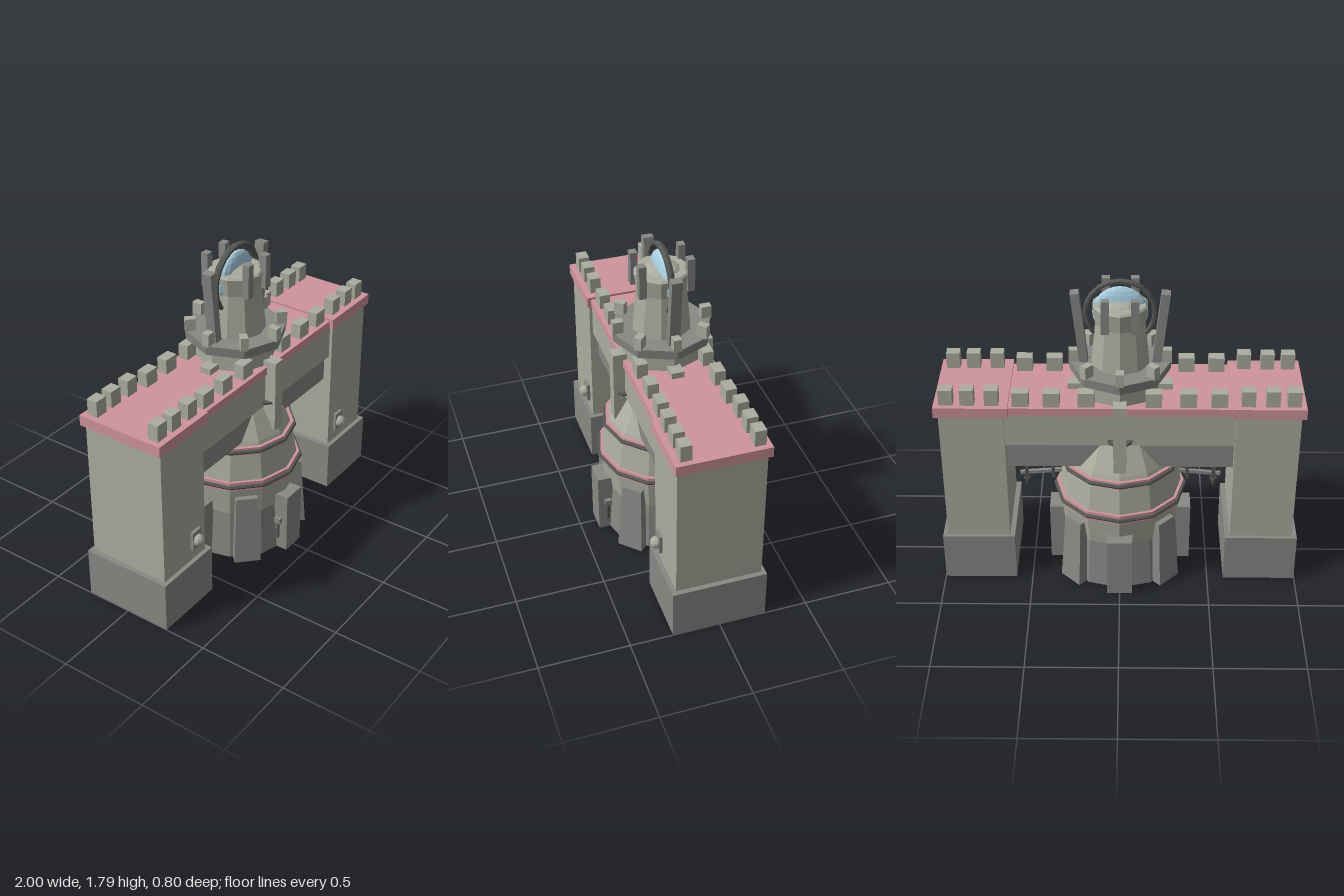
import * as THREE from 'three';

const mat = (name, color) => {
  const m = new THREE.MeshStandardMaterial({ color });
  m.name = name;
  m.flatShading = true;
  return m;
};

export function createModel() {
  const root = new THREE.Group();
  root.name = 'gatehouse';
  const stone = mat('lightStone', 0xabad9f);
  const dark = mat('darkStone', 0x888985);
  const pink = mat('pinkTrim', 0xd0949b);
  const glass = mat('paleBlueGlass', 0xa8cfe2);
  const metal = mat('darkMetal', 0x565854);

  const add = (name, geo, material, x = 0, y = 0, z = 0, parent = root) => {
    const m = new THREE.Mesh(geo, material);
    m.name = name;
    m.position.set(x, y, z);
    parent.add(m);
    return m;
  };
  // Box given by its lower and upper limits
  const box = (name, material, x0, x1, y0, y1, z0, z1, parent) =>
    add(name, new THREE.BoxGeometry(x1 - x0, y1 - y0, z1 - z0), material,
      (x0 + x1) / 2, (y0 + y1) / 2, (z0 + z1) / 2, parent);
  const lathe = (name, material, pts, sides) =>
    add(name, new THREE.LatheGeometry(pts.map(p => new THREE.Vector2(...p)), sides), material);
  // Bar between two points in the front plane
  const bar = (name, material, a, b, w, d, z = 0) => {
    const dx = b[0] - a[0], dy = b[1] - a[1];
    const m = add(name, new THREE.BoxGeometry(w, Math.hypot(dx, dy), d), material,
      (a[0] + b[0]) / 2, (a[1] + b[1]) / 2, z);
    m.rotation.z = Math.atan2(-dx, dy);
    return m;
  };
  // Box whose top is narrower and whose outer (+z) face leans inward
  const buttressGeo = (w, h, zIn, zOut, topScale, lean) => {
    const g = new THREE.BoxGeometry(w, h, zOut - zIn);
    g.translate(0, h / 2, (zIn + zOut) / 2);
    const p = g.attributes.position;
    for (let i = 0; i < p.count; i++) {
      if (p.getY(i) > h / 2) {
        p.setX(i, p.getX(i) * topScale);
        if (p.getZ(i) > (zIn + zOut) / 2) p.setZ(i, p.getZ(i) - lean);
      }
    }
    g.computeVertexNormals();
    return g;
  };

  // Bridge
  box('bridgeWall', stone, -0.62, 0.62, 0.89, 1.09, -0.22, 0.22);
  box('bridgeUnderside', dark, -0.62, 0.62, 0.73, 0.89, -0.19, 0.19);
  box('bridgeRoof', pink, -0.6, 0.6, 1.088, 1.135, -0.235, 0.23);

  for (const s of [-1, 1]) {
    // Side towers
    const tower = new THREE.Group();
    tower.name = s > 0 ? 'leftTower' : 'rightTower';
    tower.position.x = s * 0.795;
    root.add(tower);
    box('towerBase', dark, -0.203, 0.203, 0, 0.29, -0.262, 0.262, tower);
    box('towerWall', stone, -0.175, 0.175, 0.29, 1.09, -0.24, 0.237, tower);
    box('towerRoof', pink, -0.198, 0.198, 1.088, 1.148, -0.258, 0.252, tower);
    for (const x of [-0.113, 0.017, 0.13])
      for (const z of [-0.198, 0.188])
        box('towerMerlon', stone, s * x - 0.037, s * x + 0.037, 1.145, 1.24, z - 0.031, z + 0.031, tower);

    // Wall lamps
    box('lampPlate', dark, s * 0.71 - 0.035, s * 0.71 + 0.035, 0.36, 0.472, 0.235, 0.255);
    add('lampBall', new THREE.SphereGeometry(0.034, 10, 8), stone, s * 0.71, 0.415, 0.262);

    // Bridge merlons
    for (const x of [0.18, 0.365, 0.53])
      for (const z of [-0.19, 0.178])
        box('bridgeMerlon', stone, s * x - 0.044, s * x + 0.044, 1.13, 1.22, z - 0.03, z + 0.03);

    // Hanging spikes and cross bars
    box('hangingRod', metal, s * 0.53 - 0.011, s * 0.53 + 0.011, 0.5, 0.74, -0.011, 0.011);
    const tip = add('spikeTip', new THREE.ConeGeometry(0.024, 0.06, 4), metal, s * 0.53, 0.49, 0);
    tip.rotation.x = Math.PI;
    const drop = s > 0 ? 0 : 0.055;
    bar('upperCrossBar', dark, [s * 0.3, 0.695 - drop * 1.5], [s * 0.568, 0.68 - drop], 0.02, 0.02);
    bar('lowerCrossBar', dark, [s * 0.3, 0.575], [s * 0.568, 0.552], 0.02, 0.02);
    box('crossBarPost', metal, s * 0.38 - 0.01, s * 0.38 + 0.01, 0.52, 0.735, -0.01, 0.01);
  }

  // Central keep
  lathe('keepBase', dark, [[0, 0], [0.355, 0], [0.335, 0.29]], 12);
  lathe('keepBody', stone, [[0.335, 0.29], [0.357, 0.47], [0.345, 0.51], [0.315, 0.69],
    [0.298, 0.73], [0.235, 0.84], [0.17, 0.95]], 12);
  for (const [y, r, h] of [[0.485, 0.358, 0.054], [0.69, 0.322, 0.042]]) {
    lathe('pinkBand', pink, [[r - 0.03, y - h / 2], [r + 0.003, y - h / 2],
      [r + 0.003, y + h / 2], [r - 0.03, y + h / 2]], 12);
    const ring = add('keepRing', new THREE.TorusGeometry(r + 0.008, 0.011, 6, 12), metal, 0, y, 0);
    ring.rotation.set(Math.PI / 2, 0, 0);
  }

  for (let i = 0; i < 8; i++) {
    const a = i * Math.PI / 4;
    // Buttresses: square on the axes, tapered on the diagonals
    const geo = i % 2 ? buttressGeo(0.15, 0.41, 0.22, 0.4, 0.8, 0.03)
      : buttressGeo(0.14, 0.36, 0.22, 0.402, 1, 0);
    add('keepButtress', geo, dark).rotation.y = a;
    // Upright arms crossing the bridge
    if (i % 2 === 0) {
      const arm = new THREE.BoxGeometry(0.07, 0.42, 0.285);
      arm.translate(0, 0.96, 0.1425);
      add('keepArm', arm, stone).rotation.y = a;
    }
    // Battlements of the gallery
    const merlon = new THREE.BoxGeometry(0.042, 0.075, 0.058);
    merlon.translate(0, 1.332, 0.248);
    add('galleryMerlon', merlon, stone).rotation.y = a;
  }

  for (const s of [-1, 1]) {
    // Thin collar behind each upright arm
    add('armCollar', new THREE.CylinderGeometry(0.072, 0.072, 0.012, 12), metal, 0, 0.92, s * 0.205);
    // Brackets beside the front buttress
    box('bracket', dark, s * 0.08 - 0.013, s * 0.08 + 0.013, 0.18, 0.212, 0.33, 0.368);
    box('bracketRod', metal, s * 0.078 - 0.005, s * 0.078 + 0.005, 0.07, 0.18, 0.34, 0.355);
  }

  // Gallery
  lathe('galleryNeck', stone, [[0.22, 1.13], [0.22, 1.23]], 8);
  lathe('gallery', dark, [[0, 1.218], [0.225, 1.222], [0.272, 1.245], [0.278, 1.3], [0, 1.3]], 8);

  // Turret
  lathe('turret', stone, [[0.162, 1.295], [0.138, 1.54], [0.152, 1.64], [0.142, 1.65], [0, 1.65]], 10);
  const dome = add('turretDome', new THREE.SphereGeometry(0.1, 12, 5, 0, Math.PI * 2, 0, Math.PI / 2), stone, 0, 1.64, 0);
  dome.scale.y = 0.35;

  // Lens and its ring
  add('lens', new THREE.SphereGeometry(0.148, 16, 12), glass, 0, 1.595, 0).scale.z = 0.3;
  add('lensRing', new THREE.TorusGeometry(0.184, 0.014, 6, 20), metal, 0, 1.59, 0).scale.z = 1.4;

  // Leaning pylons and corner posts
  for (const s of [-1, 1]) {
    bar('pylon', dark, [s * 0.195, 1.29], [s * 0.24, 1.71], 0.047, 0.058);
    for (const z of [-0.132, 0.132])
      box('turretPost', dark, s * 0.078 - 0.022, s * 0.078 + 0.022, 1.54, 1.73, z - 0.02, z + 0.02);
  }
  return root;
}
